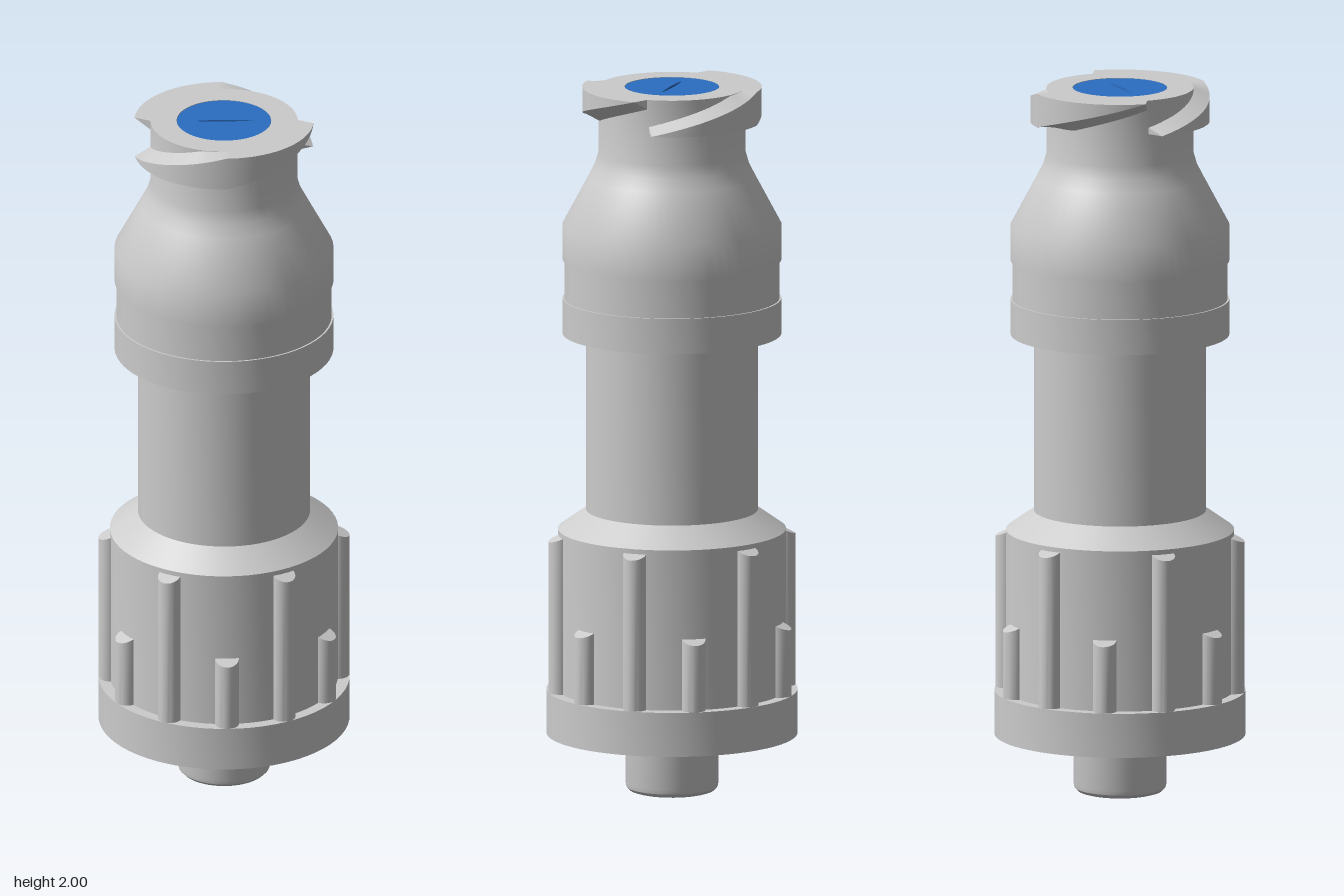
import * as THREE from 'three';
import { toCreasedNormals } from 'three/addons/utils/BufferGeometryUtils.js';

const grey = new THREE.MeshStandardMaterial({ color: 0xcccccc });
const blue = new THREE.MeshStandardMaterial({ color: 0x2a6cc0 });

function add(parent, name, geometry, material = grey) {
  const mesh = new THREE.Mesh(geometry, material);
  mesh.name = name;
  parent.add(mesh);
  return mesh;
}

function lathe(points, segments = 64) {
  const g = new THREE.LatheGeometry(points.map(([r, y]) => new THREE.Vector2(r, y)), segments);
  return toCreasedNormals(g, 0.5);
}

// Extrudes a flat shape upward from y0 to y1
function slab(shape, y0, y1, curveSegments) {
  const g = new THREE.ExtrudeGeometry(shape, { depth: y1 - y0, bevelEnabled: false, curveSegments });
  g.rotateX(-Math.PI / 2).translate(0, y0, 0);
  return toCreasedNormals(g, 0.5);
}

// Half-turn thread lug: four-cornered section swept along a falling helix
function lugGeometry() {
  const steps = 40, inner = 0.2, outer = 0.25, pos = [], index = [];
  for (let i = 0; i <= steps; i++) {
    const t = i / steps;
    const aIn = Math.PI * t;
    const aOut = 0.1 + (Math.PI - 0.2) * t;
    const top = 2 - 0.19 * Math.max(0, t - 0.5);
    const low = Math.max(1.905, 2 - 0.19 * t);
    const section = [
      [inner, aIn, Math.max(1.905, low - 0.03)],
      [outer, aOut, Math.min(low, top)],
      [outer, aOut, top],
      [inner, aIn, Math.min(2, top + 0.02)],
    ];
    for (const [r, a, y] of section) pos.push(r * Math.cos(a), y, r * Math.sin(a));
  }
  for (let i = 0; i < steps; i++) {
    for (let j = 0; j < 4; j++) {
      const a = i * 4 + j, b = i * 4 + (j + 1) % 4;
      index.push(a, b, a + 4, b, b + 4, a + 4);
    }
  }
  const e = steps * 4;
  index.push(0, 2, 1, 0, 3, 2, e, e + 1, e + 2, e, e + 2, e + 3);
  // winding is reversed so the faces look outward
  for (let i = 0; i < index.length; i += 3) [index[i + 1], index[i + 2]] = [index[i + 2], index[i + 1]];
  const g = new THREE.BufferGeometry();
  g.setAttribute('position', new THREE.Float32BufferAttribute(pos, 3));
  g.setIndex(index);
  return toCreasedNormals(g, 0.5);
}

// Grip rib whose top slopes down toward the outside
function ribGeometry(y0, y1) {
  const r = 0.033;
  const g = new THREE.CylinderGeometry(r, r, y1 - y0, 20);
  g.translate(0, (y0 + y1) / 2, 0);
  const p = g.attributes.position;
  for (let i = 0; i < p.count; i++) {
    if (p.getY(i) > (y0 + y1) / 2) p.setY(i, y1 - 0.4 * (p.getZ(i) + r));
  }
  g.translate(0, 0, 0.317);
  return toCreasedNormals(g, 0.5);
}

export function createModel() {
  const model = new THREE.Group();
  model.name = 'connector';

  // Barrel, grooved shoulder, cone and neck with a socket for the plug
  add(model, 'body', lathe([
    [0.24, 0.7], [0.24, 1.3], [0.305, 1.3], [0.305, 1.4], [0.3, 1.4], [0.3, 1.51],
    [0.305, 1.51], [0.305, 1.61], [0.233, 1.745], [0.215, 1.78], [0.205, 1.815],
    [0.205, 2], [0.132, 2], [0.132, 1.95], [0, 1.95],
  ]));

  // Twin thread lugs on the neck
  for (let i = 0; i < 2; i++) {
    add(model, 'threadLug', lugGeometry(), new THREE.MeshStandardMaterial({
      color: 0xcccccc, side: THREE.DoubleSide,
    })).rotation.y = i * Math.PI;
  }

  // Blue plug with a lens-shaped slit
  const face = new THREE.Shape().absarc(0, 0, 0.131, 0, Math.PI * 2, false);
  const slit = new THREE.Path();
  slit.moveTo(-0.085, 0);
  slit.quadraticCurveTo(0, 0.011, 0.085, 0);
  slit.quadraticCurveTo(0, -0.011, -0.085, 0);
  face.holes.push(slit);
  const plug = new THREE.Group();
  plug.name = 'plug';
  model.add(plug);
  add(plug, 'plugFace', slab(face, 1.97, 1.999, 24), blue);
  add(plug, 'plugBase', new THREE.CylinderGeometry(0.131, 0.131, 0.02, 48).translate(0, 1.96, 0), blue);

  // Hollow centre pin with a rounded tip
  add(model, 'centrePin', lathe([
    [0, 0.6], [0.065, 0.6], [0.065, 0.01], [0.072, 0], [0.105, 0], [0.118, 0.004],
    [0.127, 0.013], [0.13, 0.026], [0.13, 0.72],
  ], 48));

  // Threaded collar
  const collar = new THREE.Group();
  collar.name = 'collar';
  model.add(collar);
  add(collar, 'collarShell', lathe([
    [0.12, 0.72], [0.257, 0.72], [0.257, 0.29], [0.318, 0.29], [0.318, 0.745], [0.24, 0.8],
  ]));

  // Base ring with eight slots
  const ring = new THREE.Shape().absarc(0, 0, 0.35, 0, Math.PI * 2, false);
  ring.holes.push(new THREE.Path().absarc(0, 0, 0.257, 0, Math.PI * 2, true));
  for (let i = 0; i < 8; i++) {
    const a = i * Math.PI / 4, d = 0.11;
    const slot = new THREE.Path();
    slot.absarc(0, 0, 0.316, a - d, a + d, false);
    slot.absarc(0, 0, 0.288, a + d, a - d, true);
    slot.closePath();
    ring.holes.push(slot);
  }
  add(collar, 'baseRing', slab(ring, 0.165, 0.29, 32));

  // Alternating short and tall grip ribs
  for (let i = 0; i < 12; i++) {
    const tall = i % 2 === 1;
    add(collar, tall ? 'tallRib' : 'shortRib', ribGeometry(0.28, tall ? 0.745 : 0.505))
      .rotation.y = i * Math.PI / 6;
  }

  // Internal thread
  const turns = [];
  for (let i = 0; i <= 72; i++) {
    const a = i / 72 * Math.PI * 5;
    turns.push(new THREE.Vector3(0.257 * Math.cos(a), 0.25 + 0.35 * i / 72, 0.257 * Math.sin(a)));
  }
  add(collar, 'innerThread', new THREE.TubeGeometry(new THREE.CatmullRomCurve3(turns), 160, 0.018, 8));

  return model;
}
